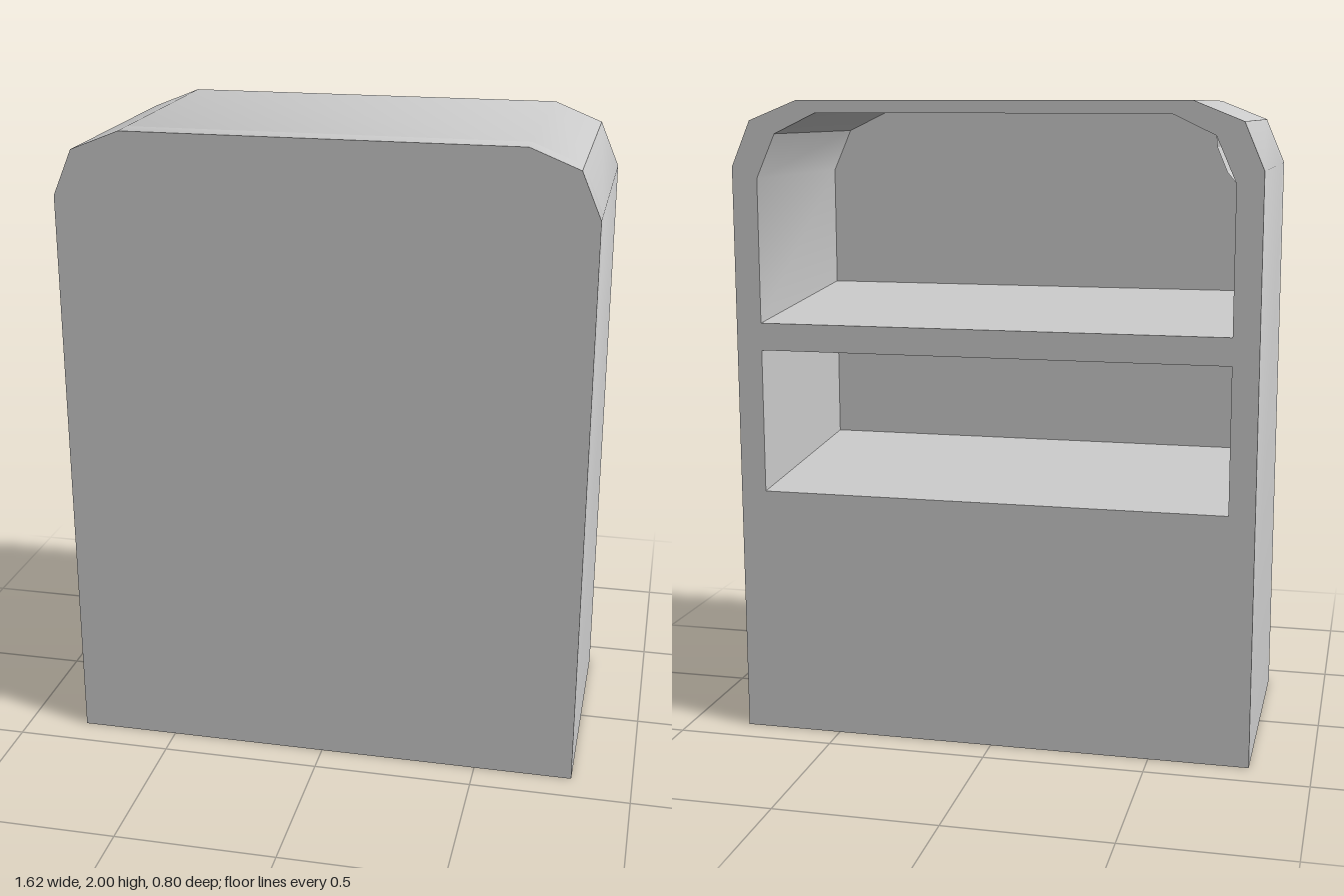
import * as THREE from 'three';
import { toCreasedNormals } from 'three/addons/utils/BufferGeometryUtils.js';

const BACK = -0.4, FRONT = 0.4, INNER = 0.32;
const material = new THREE.MeshStandardMaterial({ color: 0xcccccc });

// Closed polygon from its right half, mirrored to the left
function mirrored(half, Type) {
  const left = half.map(([x, y]) => [-x, y]).reverse();
  return new Type([...half, ...left].map(([x, y]) => new THREE.Vector2(x, y)));
}

function addMesh(group, name, geometry) {
  const mesh = new THREE.Mesh(geometry, material);
  mesh.name = name;
  group.add(mesh);
  return mesh;
}

function extrudeZ(shape, z0, z1) {
  const geo = new THREE.ExtrudeGeometry(shape, { depth: z1 - z0, bevelEnabled: false });
  geo.translate(0, 0, z0);
  return toCreasedNormals(geo, 0.5);
}

// Slightly raised strip with sloping ends and sides, lying on the upper corner of the opening
function stripGeometry() {
  const ring = (x0, y0, x1, y1, z0, z1) => [x0, y0, z0, x1, y1, z0, x1, y1, z1, x0, y0, z1];
  const positions = [
    ...ring(0.73, 1.765, 0.67, 1.9, BACK, INNER),
    ...ring(0.695, 1.795, 0.665, 1.865, BACK + 0.08, INNER - 0.08),
  ];
  const index = [4, 5, 6, 4, 6, 7];
  for (let i = 0; i < 4; i++) {
    const j = (i + 1) % 4;
    index.push(i, j, j + 4, i, j + 4, i + 4);
  }
  const geo = new THREE.BufferGeometry();
  geo.setAttribute('position', new THREE.Float32BufferAttribute(positions, 3));
  geo.setIndex(index);
  const flat = geo.toNonIndexed();
  flat.computeVertexNormals();
  return flat;
}

export function createModel() {
  const group = new THREE.Group();
  group.name = 'cabinet';

  const outline = [[0.81, 0], [0.81, 1.8], [0.75, 1.94], [0.6, 2]];
  const upper = [[0.73, 1.32], [0.73, 1.765], [0.67, 1.9], [0.54, 1.962]];
  const lower = [[0.73, 0.785], [0.73, 1.235]];

  // Body with two compartments open at the back
  const body = mirrored(outline, THREE.Shape);
  body.holes.push(mirrored(upper, THREE.Path), mirrored(lower, THREE.Path));
  addMesh(group, 'body', extrudeZ(body, BACK, INNER));

  // Closed front panel
  addMesh(group, 'frontPanel', extrudeZ(mirrored(outline, THREE.Shape), INNER, FRONT));

  // Compartment floors rising gently towards the front panel
  for (const [name, y] of [['upperFloor', 1.32], ['lowerFloor', 0.785]]) {
    const wedge = new THREE.Shape([
      new THREE.Vector2(-BACK, y),
      new THREE.Vector2(-INNER, y + 0.058),
      new THREE.Vector2(-INNER, y),
    ]);
    const geo = new THREE.ExtrudeGeometry(wedge, { depth: 1.46, bevelEnabled: false });
    geo.translate(0, 0, -0.73);
    geo.rotateY(Math.PI / 2);
    addMesh(group, name, geo);
  }

  // Raised strips in both upper corners
  addMesh(group, 'leftCornerStrip', stripGeometry());
  const right = stripGeometry();
  right.rotateY(Math.PI);
  right.translate(0, 0, BACK + INNER);
  addMesh(group, 'rightCornerStrip', right);

  return group;
}
